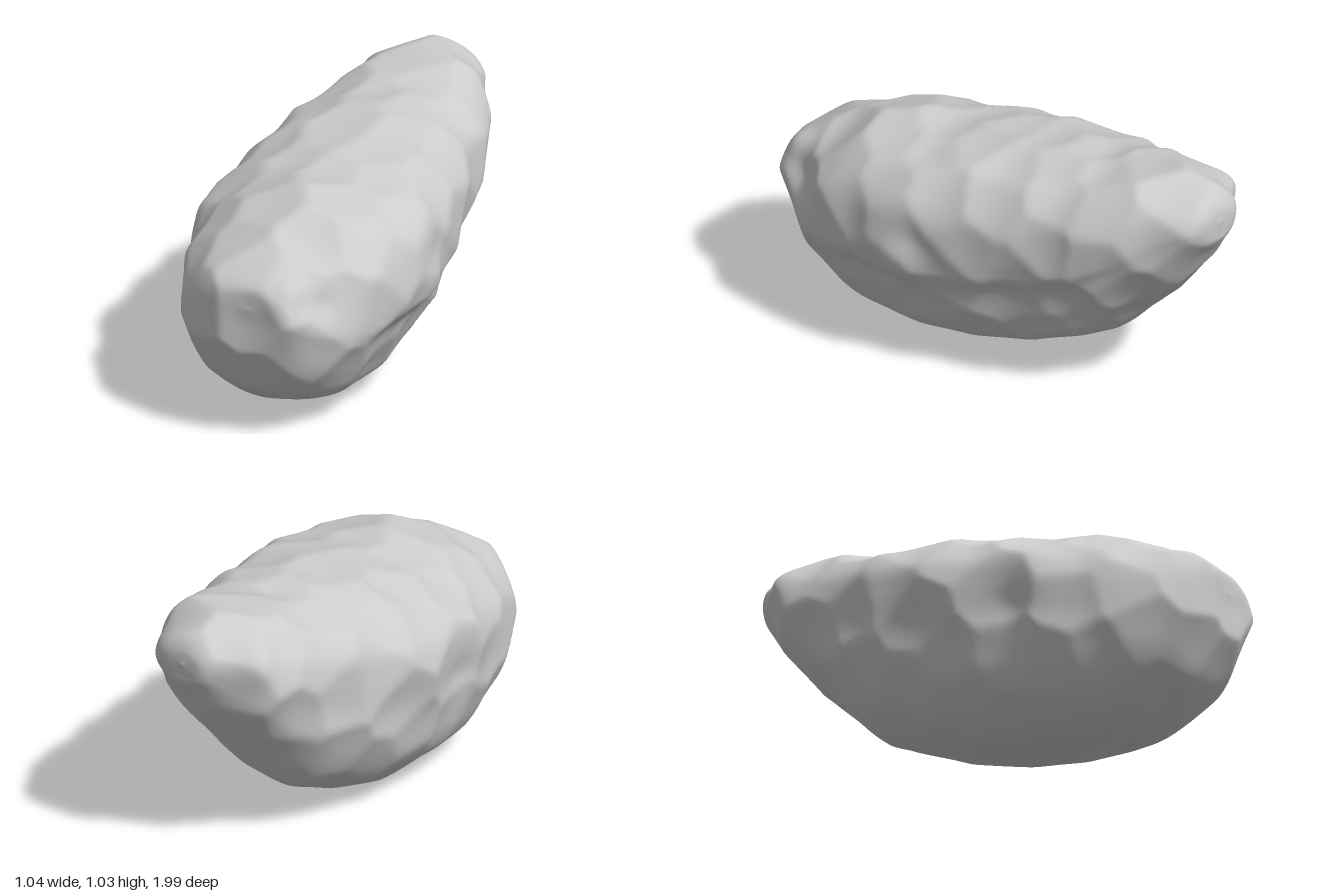
import * as THREE from 'three';

// Stations along the length: z, min x, max x, min y, max y
const STATIONS = [
  [-1, -0.06, -0.06, 0.86, 0.86],
  [-0.985, -0.15, 0.03, 0.79, 0.92],
  [-0.94, -0.21, 0.1, 0.73, 0.97],
  [-0.8, -0.35, 0.2, 0.53, 1.015],
  [-0.62, -0.395, 0.3, 0.34, 1.005],
  [-0.45, -0.44, 0.335, 0.18, 0.985],
  [-0.23, -0.485, 0.395, 0.085, 0.965],
  [0, -0.51, 0.455, 0.02, 0.945],
  [0.25, -0.485, 0.495, 0, 0.91],
  [0.45, -0.46, 0.485, 0.005, 0.89],
  [0.6, -0.415, 0.475, 0.03, 0.865],
  [0.76, -0.355, 0.41, 0.115, 0.79],
  [0.88, -0.265, 0.345, 0.205, 0.745],
  [0.955, -0.185, 0.29, 0.33, 0.7],
  [0.985, -0.1, 0.25, 0.43, 0.66],
  [1, 0.07, 0.07, 0.58, 0.58],
];

// Cross-section in unit coordinates, anticlockwise: square shoulders, narrow tilted base
const SECTION = [
  [1, 0.02], [1, 0.5], [0.8, 0.8], [0.45, 0.96], [0, 1], [-0.42, 0.91], [-0.75, 0.74], [-0.96, 0.5],
  [-1, 0.25], [-0.95, -0.1], [-0.86, -0.5], [-0.63, -0.82], [-0.32, -1], [0.2, -0.92], [0.52, -0.8], [0.7, -0.54], [0.86, -0.2],
];

// Individual knobs and hollows: x, y, z, radius, height
const BUMPS = [
  [0.25, 0.69, 0.94, 0.07, 0.03], [0.34, 0.61, 0.86, 0.08, -0.03],
  [0.46, 0.74, 0.3, 0.14, 0.015], [0.47, 0.6, 0.13, 0.09, -0.025],
  [0.5, 0.46, 0.24, 0.08, 0.015], [0.42, 0.45, -0.22, 0.09, -0.015],
  [0.36, 0.28, -0.3, 0.1, 0.015], [-0.33, 0.85, -0.82, 0.07, 0.012],
  [-0.22, 0.94, -0.9, 0.08, -0.015], [-0.05, 0.97, -0.42, 0.1, -0.012],
  [-0.47, 0.45, 0.3, 0.09, -0.02],
  [-0.35, 0.75, 0.52, 0.18, -0.022], [0.14, 0.42, -0.64, 0.17, -0.02],
];

const RINGS = 170, SIDES = 144;

function seeded(seed) {
  return () => (seed = (seed * 16807) % 2147483647) / 2147483647;
}

// Smooth loft through the stations, with a single vertex at each tip
function loftBody() {
  const outline = new THREE.CatmullRomCurve3(
    SECTION.map(([u, v]) => new THREE.Vector3(u, v, 0)), true);
  const lines = [];
  for (let j = 0; j < SIDES; j++) {
    const p = outline.getPoint(j / SIDES);
    const round = p.clone().normalize();
    lines.push(new THREE.CatmullRomCurve3(STATIONS.map(([z, x0, x1, y0, y1]) => {
      // The section grows rounder towards both tips
      const ends = THREE.MathUtils.smoothstep(Math.abs(z), 0.4, 0.9);
      const q = p.clone().lerp(round, 0.8 * ends);
      return new THREE.Vector3(
        (x0 + x1) / 2 + q.x * (x1 - x0) / 2,
        (y0 + y1) / 2 + q.y * (y1 - y0) / 2, z);
    })));
  }

  const positions = [], indices = [];
  for (let i = 0; i <= RINGS; i++) {
    const tip = i === 0 || i === RINGS;
    for (let j = 0; j < (tip ? 1 : SIDES); j++) positions.push(...lines[j].getPoint(i / RINGS).toArray());
  }
  const id = (i, j) => i === 0 ? 0
    : i === RINGS ? 1 + (RINGS - 1) * SIDES
    : 1 + (i - 1) * SIDES + j % SIDES;
  for (let i = 0; i < RINGS; i++) {
    for (let j = 0; j < SIDES; j++) {
      const a = id(i, j), b = id(i, j + 1), c = id(i + 1, j + 1), d = id(i + 1, j);
      if (i > 0) indices.push(a, b, c);
      if (i < RINGS - 1) indices.push(a, c, d);
    }
  }
  const geometry = new THREE.BufferGeometry();
  geometry.setAttribute('position', new THREE.Float32BufferAttribute(positions, 3));
  geometry.setIndex(indices);
  geometry.computeVertexNormals();
  return geometry;
}

// Chipped facets, faint top ledges and single bumps pushed along the normals
function weather(geometry) {
  const pos = geometry.attributes.position, nor = geometry.attributes.normal;
  const random = seeded(71);
  const chips = [];
  for (let n = 0; n < 4000; n++) {
    const p = new THREE.Vector3().fromBufferAttribute(pos, Math.floor(random() * pos.count));
    if (chips.every((c) => c.distanceTo(p) > 0.18)) chips.push(p);
  }
  const bumps = BUMPS.map(([x, y, z, r, h]) => ({ at: new THREE.Vector3(x, y, z), r, h }));
  const p = new THREE.Vector3(), n = new THREE.Vector3();
  for (let i = 0; i < pos.count; i++) {
    p.fromBufferAttribute(pos, i);
    n.fromBufferAttribute(nor, i);
    let sum = 0;
    for (const c of chips) sum += Math.exp(-300 * c.distanceToSquared(p));
    const facet = -Math.log(sum + 1e-9) / 300;
    const under = THREE.MathUtils.smoothstep(-n.y, 0.2, 0.8);
    let h = (facet - 0.013 + 0.006 * under) * (1 - 0.6 * under);
    h += 0.004 * Math.max(0, n.y) * Math.sin(17 * (p.z - 0.9 * p.x * p.x) + 2 * p.x);
    for (const b of bumps) h += b.h * Math.exp(-b.at.distanceToSquared(p) / (b.r * b.r));
    p.addScaledVector(n, h);
    pos.setXYZ(i, p.x, p.y, p.z);
  }
  geometry.computeVertexNormals();
}

export function createModel() {
  const group = new THREE.Group();
  group.name = 'boulder';
  const geometry = loftBody();
  weather(geometry);
  const rock = new THREE.Mesh(geometry, new THREE.MeshStandardMaterial({ color: 0xcccccc }));
  rock.name = 'rock';
  group.add(rock);
  return group;
}
